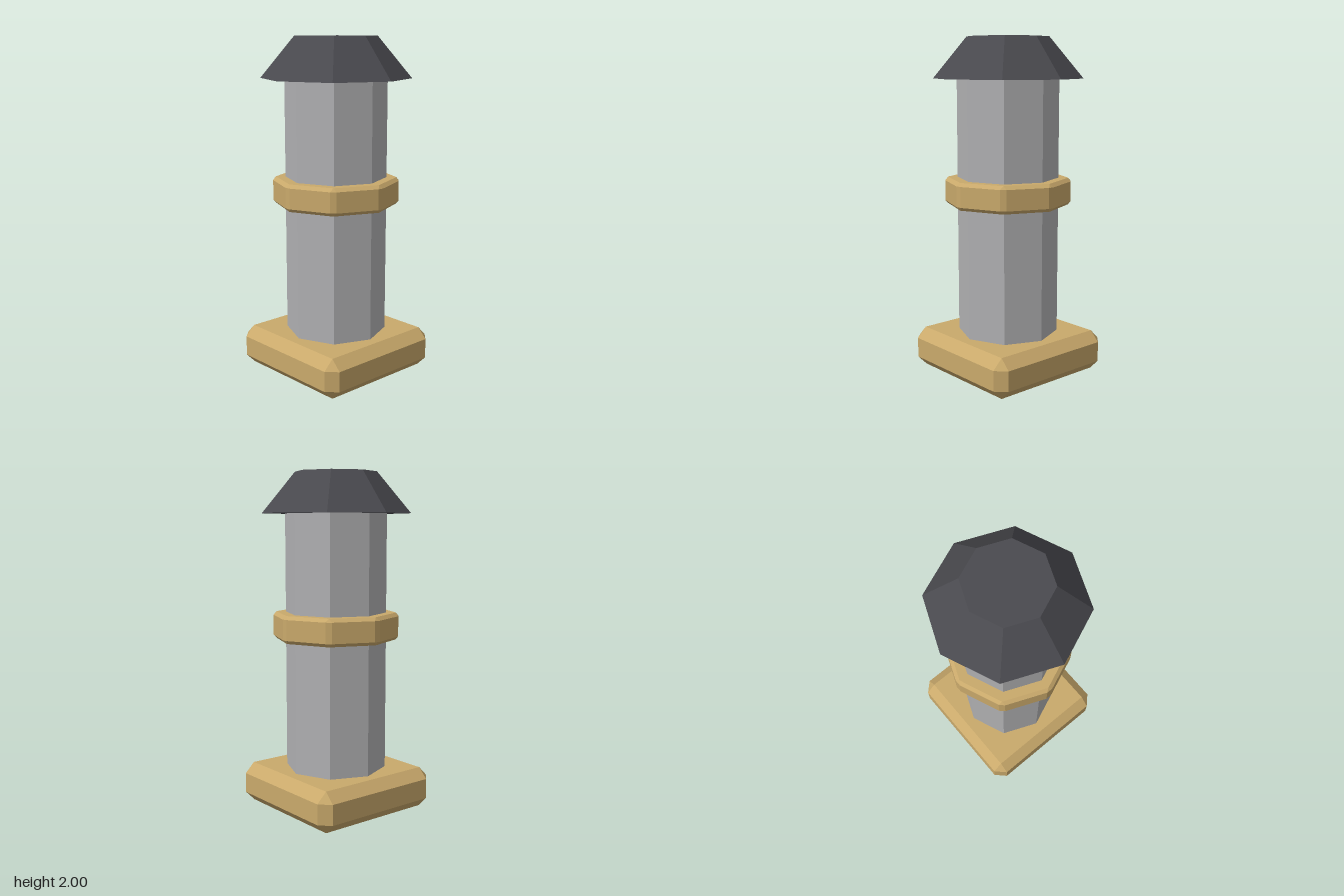
import * as THREE from 'three';
import { ConvexGeometry } from 'three/addons/geometries/ConvexGeometry.js';

const flat = (name, color) => {
  const m = new THREE.MeshStandardMaterial({ color, flatShading: true });
  m.name = name;
  return m;
};

// Regular prism with every edge chamfered; its corners lie at radius r, the first one on +z
function chamferedPrism(sides, r, height, bevel, turn = 0) {
  const half = Math.PI / sides;
  const inset = r - bevel / Math.cos(half);
  const points = [];
  for (let i = 0; i < sides; i++) {
    const a = turn + i * 2 * half;
    const out = new THREE.Vector3(Math.sin(a), 0, Math.cos(a));
    const side = new THREE.Vector3(Math.cos(a), 0, -Math.sin(a));
    for (const s of [-1, 1]) {
      // rim of the flat top or bottom
      points.push(out.clone().multiplyScalar(inset).setY(s * height / 2));
      // two points either side of the cut upright edge
      for (const t of [-1, 1]) {
        points.push(out.clone().multiplyScalar(r - bevel * Math.sin(half))
          .addScaledVector(side, t * bevel * Math.cos(half))
          .setY(s * (height / 2 - bevel)));
      }
    }
  }
  return new ConvexGeometry(points);
}

export function createModel() {
  const group = new THREE.Group();
  group.name = 'bollard';
  const brass = flat('brass', 0xc9a96b);
  const stone = flat('grey stone', 0xb0b0b2);
  const iron = flat('dark iron', 0x4a4a4f);

  const add = (name, geometry, material, y) => {
    const mesh = new THREE.Mesh(geometry, material);
    mesh.name = name;
    mesh.position.y = y;
    group.add(mesh);
  };

  // Square plinth
  add('base', chamferedPrism(4, 0.42 * Math.SQRT2, 0.24, 0.06, Math.PI / 4), brass, 0.12);
  // Octagonal post
  add('shaft', new THREE.CylinderGeometry(0.3, 0.3, 1.56, 8), stone, 1.0);
  // Band around the post
  add('collar', chamferedPrism(8, 0.38, 0.16, 0.02), brass, 1.1);
  // Tapered cap
  add('cap', new THREE.CylinderGeometry(0.24, 0.44, 0.24, 8), iron, 1.88);

  return group;
}
